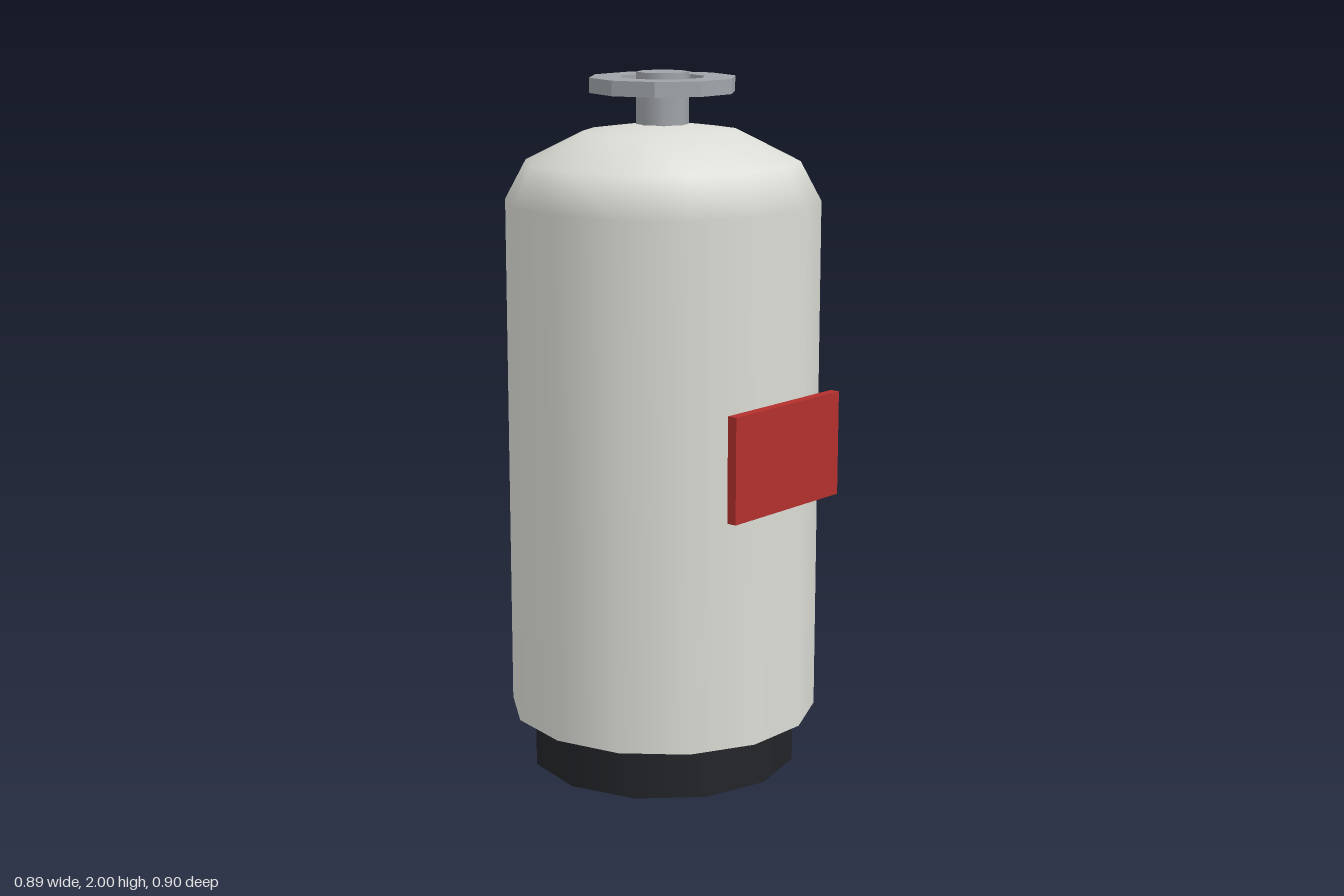
import * as THREE from 'three';

export function createModel() {
  const model = new THREE.Group();
  const axisZ = -0.015; // the cylinder axis sits slightly behind centre

  const add = (name, geometry, color, y, z = axisZ, flatShading = false) => {
    const material = new THREE.MeshStandardMaterial({ color, flatShading });
    const mesh = new THREE.Mesh(geometry, material);
    mesh.name = name;
    mesh.position.set(0, y, z);
    model.add(mesh);
    return mesh;
  };

  const paint = 0xdcdcd6, metal = 0xa0a4a8, rubber = 0x222428, red = 0xb3302d;
  const radius = 0.446, sides = 14, bottom = 0.155, shoulder = 1.642;

  // Foot ring
  add('foot', new THREE.CylinderGeometry(0.388, 0.388, bottom, 12), rubber, bottom / 2);

  // Straight tank wall, closed at both ends
  const wall = shoulder - bottom;
  add('tankBody', new THREE.CylinderGeometry(radius, radius, wall, sides, 1, false, Math.PI / 2),
    paint, bottom + wall / 2);

  // Flattened dome on the shoulder
  const dome = new THREE.SphereGeometry(radius, sides, 3, 0, Math.PI * 2, 0, Math.PI / 2);
  dome.scale(1, 0.5, 1);
  add('tankDome', dome, paint, shoulder);

  // Valve stem
  add('valveStem', new THREE.CylinderGeometry(0.074, 0.074, 0.16, 8), metal, 1.92);

  // Ten-sided handwheel with a square-edged rim
  const ring = (r) => Array.from({ length: 10 }, (_, i) => {
    const a = (i / 10) * Math.PI * 2;
    return new THREE.Vector2(r * Math.cos(a), r * Math.sin(a));
  });
  const rim = new THREE.Shape(ring(0.208));
  rim.holes.push(new THREE.Path(ring(0.12)));
  const wheel = new THREE.ExtrudeGeometry(rim, { depth: 0.042, bevelEnabled: false });
  wheel.rotateX(-Math.PI / 2);
  add('handwheel', wheel, metal, 1.944, axisZ, true);

  // Flat plate on the front
  add('frontLabel', new THREE.BoxGeometry(0.447, 0.297, 0.029), red, 0.973, 0.434);

  return model;
}
